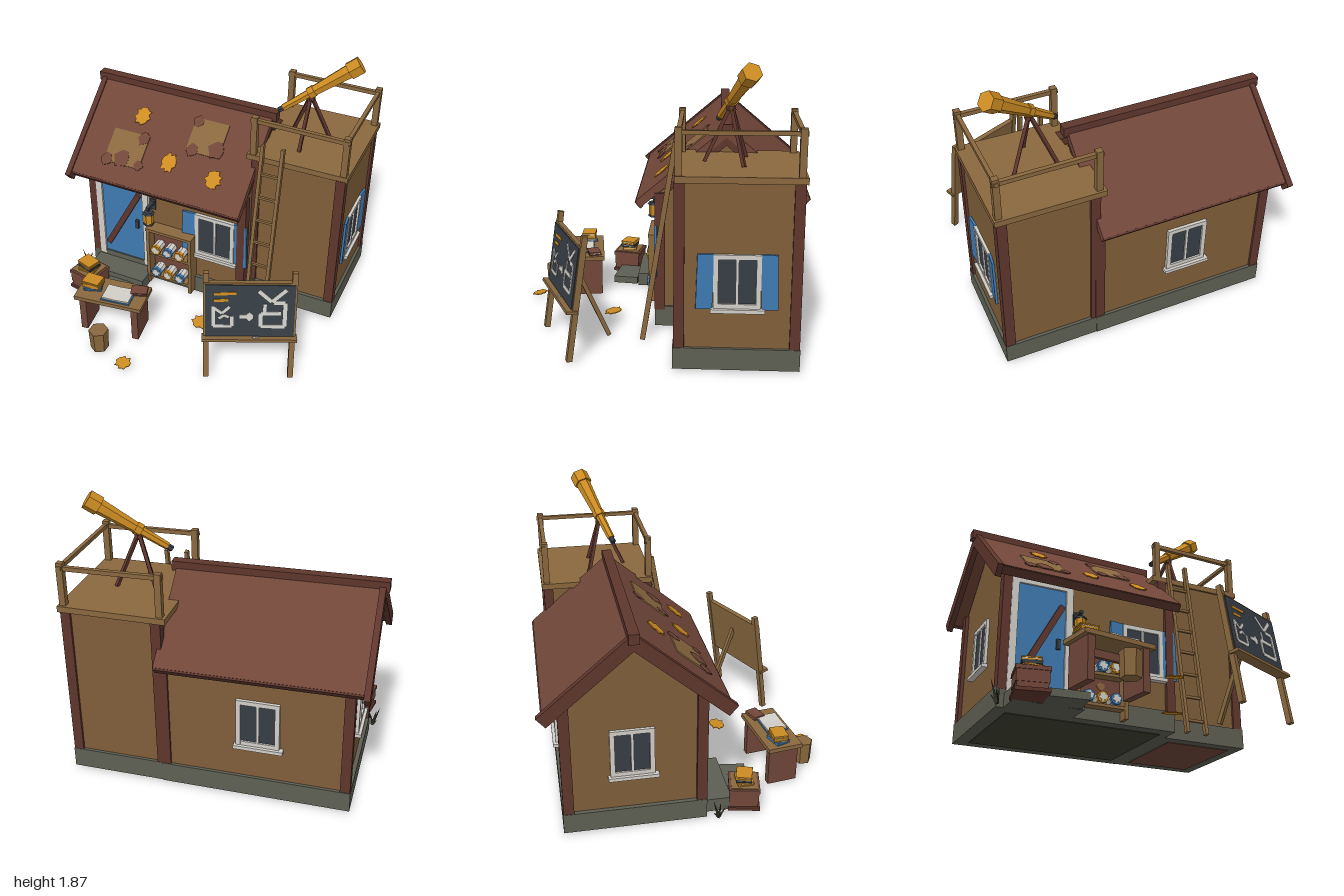
import * as THREE from 'three';

const mat = (name, color) => Object.assign(new THREE.MeshStandardMaterial({ color }), { name, flatShading: true });
const M = {
  roof: mat('roof red brown', 0x714639), trim: mat('dark red timber', 0x5e362d),
  wall: mat('ochre wall', 0x7f5e39), wood: mat('light wood', 0x89683f),
  stone: mat('grey stone', 0x5e5f53), blue: mat('blue paint', 0x3f7ab2),
  white: mat('off white', 0xd2cfc9), dark: mat('slate', 0x363d44),
  gold: mat('gold', 0xcb8b22), grass: mat('dark grass', 0x3e3f2e),
};

const group = (name, parent, x = 0, y = 0, z = 0, ry = 0) => {
  const g = new THREE.Group();
  g.name = name; g.position.set(x, y, z); g.rotation.y = ry;
  parent.add(g);
  return g;
};
const add = (parent, name, geo, m, x = 0, y = 0, z = 0) => {
  const mesh = new THREE.Mesh(geo, m);
  mesh.name = name; mesh.position.set(x, y, z);
  parent.add(mesh);
  return mesh;
};
// box given by its lower and upper limits
const block = (p, name, m, x0, x1, y0, y1, z0, z1) =>
  add(p, name, new THREE.BoxGeometry(x1 - x0, y1 - y0, z1 - z0), m, (x0 + x1) / 2, (y0 + y1) / 2, (z0 + z1) / 2);
// bars and tubes between two points
const UP = new THREE.Vector3(0, 1, 0);
const span = (mesh, a, b) => {
  const A = new THREE.Vector3(...a), B = new THREE.Vector3(...b);
  mesh.position.copy(A).add(B).multiplyScalar(0.5);
  mesh.quaternion.setFromUnitVectors(UP, B.sub(A).normalize());
  return mesh;
};
const dist = (a, b) => Math.hypot(a[0] - b[0], a[1] - b[1], a[2] - b[2]);
const beam = (p, name, m, a, b, w, d = w) => span(add(p, name, new THREE.BoxGeometry(w, dist(a, b), d), m), a, b);
const tube = (p, name, m, a, b, r0, r1, sides = 6) =>
  span(add(p, name, new THREE.CylinderGeometry(r1, r0, dist(a, b), sides), m), a, b);

// flat ragged leaf or blotch, lying in the xz plane
function flake(p, name, m, r, x, y, z, seed, points = 9, ragged = 0.18, long = 0.9) {
  const pts = [];
  for (let i = 0; i < points * 2; i++) {
    const a = i * Math.PI / points + seed, k = r * ((i % 2 ? 1 - ragged : 1) + 0.1 * Math.sin(i * 2.3 + seed * 5));
    pts.push(new THREE.Vector2(Math.cos(a) * k, Math.sin(a) * k * long));
  }
  const geo = new THREE.ExtrudeGeometry(new THREE.Shape(pts), { depth: 0.006, bevelEnabled: false });
  geo.rotateX(-Math.PI / 2);
  return add(p, name, geo, m, x, y, z);
}

// window facing +z, set shallowly into its wall
function windowUnit(p, x, y, z, ry, w, h, shutters) {
  const g = group('window', p, x, y, z, ry), a = w / 2, b = h / 2, t = 0.03;
  block(g, 'glass', M.dark, -a + 0.01, a - 0.01, -b + 0.01, b - 0.01, -0.01, 0.007);
  for (const s of [-1, 1]) {
    add(g, 'frameSide', new THREE.BoxGeometry(t, h, 0.034), M.white, s * (a - t / 2), 0, 0.003);
    add(g, 'frameEnd', new THREE.BoxGeometry(w, t, 0.032), M.white, 0, s * (b - t / 2), 0.003);
    if (!shutters) continue;
    const sh = add(g, 'shutter', new THREE.BoxGeometry(0.1, h + 0.005, 0.016), M.blue, s * (a + 0.05), 0, 0.011);
    sh.rotation.set(0, -s * 0.1, s * 0.03);
  }
  add(g, 'mullion', new THREE.BoxGeometry(0.018, h - 0.02, 0.028), M.white, 0, 0, 0.003);
  add(g, 'sill', new THREE.BoxGeometry(w + 0.04, 0.024, 0.05), M.white, 0.005, -b - 0.01, 0.014);
}

function house(root) {
  const g = group('house', root);
  block(g, 'foundation', M.stone, -0.89, 0.35, 0.012, 0.15, -0.88, 0.045);
  block(g, 'underside', M.grass, -0.8, 0.28, 0.008, 0.014, -0.79, -0.04);
  const s = new THREE.Shape();
  [[0.86, 0.13], [0.86, 0.94], [0.42, 1.32], [-0.02, 0.94], [-0.02, 0.13]].forEach(([x, y], i) => i ? s.lineTo(x, y) : s.moveTo(x, y));
  const body = new THREE.ExtrudeGeometry(s, { depth: 1.197, bevelEnabled: false });
  body.rotateY(Math.PI / 2);
  add(g, 'walls', body, M.wall, -0.862, 0, 0);
  for (const x of [-0.855, 0.325]) for (const z of [-0.842, 0.012])
    block(g, 'cornerPost', M.trim, x - 0.032, x + 0.032, 0.13, 0.945, z - 0.034, z + 0.034);
  // door with its frame, brace and handle
  block(g, 'door', M.blue, -0.79, -0.43, 0.12, 0.87, 0.01, 0.035);
  for (const x of [-0.805, -0.425]) block(g, 'doorFrame', M.white, x - 0.024, x + 0.024, 0.12, 0.9, 0.01, 0.05);
  block(g, 'doorLintel', M.white, -0.829, -0.401, 0.87, 0.91, 0.01, 0.05);
  beam(g, 'doorBrace', M.trim, [-0.75, 0.24, 0.045], [-0.475, 0.755, 0.045], 0.042, 0.025);
  block(g, 'doorHandle', M.dark, -0.51, -0.485, 0.45, 0.52, 0.03, 0.055);
  block(g, 'upperStep', M.stone, -0.84, -0.38, 0.012, 0.105, 0.03, 0.22);
  const slab = add(g, 'lowerStep', new THREE.BoxGeometry(0.25, 0.05, 0.18), M.stone, -0.54, 0.037, 0.305);
  slab.rotation.y = -0.13;
  windowUnit(g, 0.12, 0.545, 0.024, 0, 0.3, 0.35, true);
  windowUnit(g, -0.29, 0.56, -0.862, Math.PI, 0.28, 0.33, false);
  windowUnit(g, -0.863, 0.56, -0.43, -Math.PI / 2, 0.28, 0.33, false);
}

function roof(root) {
  const g = group('roof', root, 0, 1.397, -0.42);
  g.rotation.z = -0.012;
  const slope = (ry, len, sx) => {
    const side = group('roofSide', g, 0, 0, 0, ry), s = group('roofSlope', side);
    s.rotation.x = 0.705;
    const bx = (n, m, x0, x1, y0, y1, z0, z1) => block(s, n, m, Math.min(sx * x0, sx * x1), Math.max(sx * x0, sx * x1), y0, y1, z0, z1);
    bx('roofPanel', M.roof, -0.95, 0.355, -0.055, 0, 0, len);
    bx('eaveBoard', M.trim, -0.935, 0.354, -0.06, -0.004, len - 0.01, len + 0.012);
    bx('bargeBoard', M.trim, -0.975, -0.936, -0.075, 0.01, 0, len + 0.04);
    bx('gableTrim', M.trim, 0.3, 0.35, -0.095, -0.05, 0.02, len - 0.2);
    return s;
  };
  const front = slope(0, 0.775, 1);
  slope(Math.PI, 0.715, -1);
  block(g, 'ridgeCap', M.trim, -0.998, 0.385, -0.045, 0.02, -0.033, 0.033);
  // patched boards with worn edges
  for (const [x, z, w, d, spots] of [
    [-0.59, 0.51, 0.28, 0.25, [[-0.01, 0.08, 0.06], [-0.12, 0.11, 0.045], [0.1, -0.1, 0.045], [0.13, 0.1, 0.035]]],
    [-0.04, 0.29, 0.25, 0.25, [[0.09, 0.07, 0.06], [-0.08, 0.11, 0.045], [-0.1, -0.1, 0.04]]],
  ]) {
    add(front, 'roofPatch', new THREE.BoxGeometry(w, 0.008, d), M.wood, x, 0.004, z);
    for (const [dx, dz, r] of spots) flake(front, 'wornSpot', M.roof, r, x + dx, 0.004, z + dz, r * 70, 5, 0.08, 1.1);
  }
  // fallen leaves
  for (const [x, z] of [[-0.56, 0.25], [-0.25, 0.53], [0.1, 0.565]])
    flake(front, 'roofLeaf', M.gold, 0.06, x, 0.004, z, x * 4, 9, 0.18, 1.2);
}

function tower(root) {
  const g = group('tower', root);
  block(g, 'towerFoundation', M.stone, 0.33, 0.98, 0.012, 0.15, -0.875, -0.1);
  block(g, 'towerUnderside', M.roof, 0.42, 0.9, 0.008, 0.014, -0.79, -0.18);
  block(g, 'towerWalls', M.wall, 0.335, 0.96, 0.13, 1.2, -0.855, -0.125);
  for (const x of [0.355, 0.945]) for (const z of [-0.84, -0.14])
    block(g, 'towerPost', M.trim, x - 0.032, x + 0.032, 0.13, 1.19, z - 0.032, z + 0.032);
  block(g, 'deck', M.wood, 0.285, 0.99, 1.185, 1.225, -0.885, -0.11);
  for (const x of [0.328, 0.957]) for (const z of [-0.848, -0.135])
    block(g, 'railPost', M.wood, x - 0.021, x + 0.021, 1.2, 1.51, z - 0.021, z + 0.021);
  for (const z of [-0.848, -0.135]) beam(g, 'rail', M.wood, [0.3, 1.482, z], [0.98, 1.472, z], 0.028);
  beam(g, 'rail', M.wood, [0.957, 1.478, -0.875], [0.957, 1.478, -0.11], 0.026);
  windowUnit(g, 0.96, 0.58, -0.487, Math.PI / 2, 0.285, 0.34, true);
  // ladder leaning on the deck
  const lad = group('ladder', root);
  const at = (x, y) => [x, y, 0.115 - 0.215 * y / 1.33];
  for (const x of [0.403, 0.545]) beam(lad, 'ladderRail', M.wood, at(x, 0), at(x, 1.33), 0.024, 0.034);
  for (let i = 0; i < 7; i++) beam(lad, 'rung', M.wood, at(0.4, 0.09 + i * 0.172), at(0.55, 0.09 + i * 0.172), 0.018);
}

function telescope(root) {
  const g = group('telescope', root);
  const a = new THREE.Vector3(0.415, 1.465, -0.37), b = new THREE.Vector3(0.885, 1.815, -0.55);
  const pt = t => a.clone().lerp(b, t).toArray();
  const part = (n, m, t0, t1, r0, r1) => tube(g, n, m, pt(t0), pt(t1), r0, r1);
  part('eyepiece', M.dark, -0.02, 0.05, 0.02, 0.02);
  part('innerTube', M.gold, 0.04, 0.42, 0.025, 0.031);
  part('collar', M.gold, 0.36, 0.43, 0.043, 0.043);
  part('mainTube', M.gold, 0.4, 0.93, 0.036, 0.053);
  part('lensHood', M.gold, 0.86, 1, 0.063, 0.063);
  const hub = [0.6, 1.58, -0.44];
  for (const [x, z] of [[0.46, -0.54], [0.595, -0.28], [0.74, -0.52]]) beam(g, 'tripodLeg', M.trim, hub, [x, 1.225, z], 0.022);
  add(g, 'tripodHead', new THREE.CylinderGeometry(0.025, 0.03, 0.05, 6), M.trim, 0.6, 1.57, -0.44);
}

function easel(root) {
  const g = group('easel', root, 0.65, 0, 0.655, 0.424), f = group('easelFront', g);
  f.rotation.x = -0.15;
  for (const x of [-0.282, 0.282]) block(f, 'easelLeg', M.wood, x - 0.018, x + 0.018, 0.008, 0.82, -0.01, 0.026);
  block(f, 'boardBack', M.wood, -0.3, 0.3, 0.335, 0.752, -0.004, 0.03);
  block(f, 'slate', M.dark, -0.288, 0.288, 0.35, 0.74, 0.012, 0.037);
  block(f, 'chalkLedge', M.wood, -0.31, 0.31, 0.325, 0.345, 0, 0.07);
  block(f, 'chalk', M.white, 0.02, 0.06, 0.345, 0.355, 0.045, 0.055);
  beam(g, 'rearLeg', M.wood, [0, 0.6, -0.09], [0, 0.01, -0.345], 0.028);
  // chalk diagrams
  const line = (m, w, ...p) => {
    for (let i = 1; i < p.length; i++) beam(f, 'chalkLine', m, [...p[i - 1], 0.038], [...p[i], 0.038], w, 0.006);
  };
  line(M.white, 0.022, [-0.235, 0.58], [-0.235, 0.43], [-0.115, 0.43], [-0.115, 0.505]);
  line(M.white, 0.02, [-0.235, 0.575], [-0.18, 0.53], [-0.13, 0.58]);
  line(M.white, 0.018, [-0.2, 0.49], [-0.165, 0.515], [-0.135, 0.5]);
  line(M.white, 0.026, [-0.065, 0.505], [0.02, 0.505]);
  line(M.white, 0.026, [-0.012, 0.53], [0.015, 0.505], [-0.012, 0.48]);
  line(M.white, 0.026, [0.053, 0.7], [0.138, 0.62], [0.23, 0.71]);
  line(M.white, 0.026, [0.15, 0.61], [0.225, 0.61], [0.225, 0.43], [0.07, 0.43], [0.07, 0.53], [0.2, 0.53]);
  line(M.white, 0.022, [0.095, 0.6], [0.095, 0.53]);
  line(M.gold, 0.02, [-0.23, 0.675], [-0.09, 0.68]);
  line(M.gold, 0.02, [-0.23, 0.625], [-0.14, 0.63]);
}

// books stacked upward, spines facing alternately back and front
function books(p, x, y, z, w, d, covers) {
  covers.forEach((c, i) => {
    const b = group('book', p, x + 0.008 * Math.sin(i * 3), y + i * 0.023, z, 0.25 * Math.sin(i * 2.4 + 1) + i * Math.PI);
    block(b, 'pages', M.white, -w / 2 + 0.006, w / 2 - 0.006, 0.003, 0.02, -d / 2 + 0.006, d / 2 - 0.006);
    for (const h of [0, 0.015]) block(b, 'cover', c, -w / 2, w / 2, h, h + 0.008, -d / 2, d / 2);
    block(b, 'spine', c, -w / 2, w / 2, 0, 0.023, -d / 2, -d / 2 + 0.008);
  });
}

function furniture(root) {
  const d = group('desk', root, -0.395, 0, 0.605, 0.14);
  block(d, 'deskTop', M.wood, -0.245, 0.245, 0.282, 0.312, -0.122, 0.122);
  for (const x of [-0.19, 0.19]) block(d, 'deskSide', M.roof, x - 0.024, x + 0.024, 0.012, 0.285, -0.105, 0.105);
  block(d, 'deskRail', M.roof, -0.18, 0.18, 0.23, 0.28, -0.085, -0.06);
  books(d, -0.15, 0.312, -0.015, 0.125, 0.1, [M.blue, M.gold, M.gold]);
  const ob = group('openBook', d, 0.05, 0.312, 0.025);
  block(ob, 'bookCover', M.blue, -0.105, 0.105, 0, 0.008, -0.077, 0.077);
  for (const s of [-1, 1]) add(ob, 'page', new THREE.BoxGeometry(0.098, 0.012, 0.14), M.white, s * 0.049, 0.014, 0).rotation.z = s * 0.05;
  books(d, 0.18, 0.318, -0.045, 0.115, 0.085, [M.roof]);
  add(root, 'stool', new THREE.CylinderGeometry(0.068, 0.062, 0.16, 6), M.wood, -0.38, 0.092, 0.85);

  const c = group('crate', root, -0.77, 0, 0.318, -0.2);
  block(c, 'crateLower', M.roof, -0.095, 0.095, 0.025, 0.075, -0.092, 0.092);
  block(c, 'crateUpper', M.roof, -0.1, 0.1, 0.07, 0.15, -0.096, 0.096);
  block(c, 'crateRim', M.roof, -0.106, 0.106, 0.145, 0.17, -0.102, 0.102);
  block(c, 'crateLid', M.wood, -0.09, 0.09, 0.165, 0.175, -0.086, 0.086);
  block(c, 'crateBase', M.trim, -0.108, 0.108, 0.012, 0.035, -0.104, 0.104);
  books(c, 0, 0.175, 0, 0.125, 0.105, [M.gold, M.dark, M.gold]);

  // rack with two rows of rolled charts, each end marked with a pale star
  const r = group('scrollRack', root, -0.21, 0, 0.02);
  for (const x of [-0.168, 0.168]) block(r, 'rackSide', M.wood, x - 0.012, x + 0.012, 0.03, 0.515, 0, 0.095);
  block(r, 'rackBack', M.roof, -0.16, 0.16, 0.04, 0.51, 0.002, 0.015);
  block(r, 'rackTop', M.wood, -0.182, 0.182, 0.508, 0.53, -0.005, 0.1);
  for (const [i, y] of [0.1, 0.31].entries()) {
    block(r, 'rackShelf', M.wood, -0.16, 0.16, y - 0.01, y + 0.01, 0, 0.093);
    for (let k = 0; k < 3; k++) {
      const x = -0.1 + k * 0.095, yc = y + 0.05, band = (i + k) % 2 ? M.gold : M.blue;
      tube(r, 'scroll', M.white, [x, yc, 0.016], [x, yc, 0.085], 0.036, 0.036, 8);
      tube(r, 'scrollEnd', band, [x, yc, 0.085], [x, yc, 0.11], 0.04, 0.04, 8);
      flake(r, 'scrollStar', M.white, 0.032, x, yc, 0.108, 0.3, 6, 0.35, 1).rotation.x = Math.PI / 2;
    }
  }
  for (const [x, y, s] of [[-0.115, 0.46, 0.032], [0.06, 0.475, 0.028], [0.11, 0.42, 0.03], [0.02, 0.25, 0.03]])
    flake(r, 'wornBoard', M.wood, s, x, y, 0.012, s * 60, 5, 0.1).rotation.x = Math.PI / 2;

  const l = group('lantern', root, -0.37, 0, 0.1);
  block(l, 'lanternBracket', M.dark, -0.012, 0.012, 0.7, 0.72, -0.09, 0.02);
  block(l, 'bracketPlate', M.dark, -0.02, 0.02, 0.65, 0.74, -0.09, -0.07);
  block(l, 'lanternHook', M.dark, -0.007, 0.007, 0.67, 0.71, -0.007, 0.007);
  add(l, 'lanternCap', new THREE.CylinderGeometry(0.035, 0.046, 0.018, 6), M.dark, 0, 0.67, 0);
  add(l, 'lanternGlass', new THREE.CylinderGeometry(0.038, 0.036, 0.085, 6), M.gold, 0, 0.62, 0);
  add(l, 'lanternBase', new THREE.CylinderGeometry(0.04, 0.04, 0.014, 6), M.dark, 0, 0.574, 0);

  for (const [x, z, s] of [[0.16, 0.35, 0.068], [-0.15, 0.93, 0.058]])
    flake(root, 'groundLeaf', M.gold, s, x, 0.027, z, x * 7).rotation.set(0.15, 0, 0.05);
  for (const [dx, h, dz] of [[-0.045, 0.15, 0], [-0.02, 0.1, 0.04], [0.02, 0.12, -0.03], [-0.03, 0.07, -0.04]])
    tube(root, 'grassBlade', M.grass, [-0.905, 0.01, 0.12], [-0.905 + dx, h, 0.12 + dz], 0.012, 0.001, 4);
}

export function createModel() {
  const root = new THREE.Group();
  root.name = 'observatoryCottage';
  for (const build of [house, roof, tower, telescope, easel, furniture]) build(root);
  return root;
}
